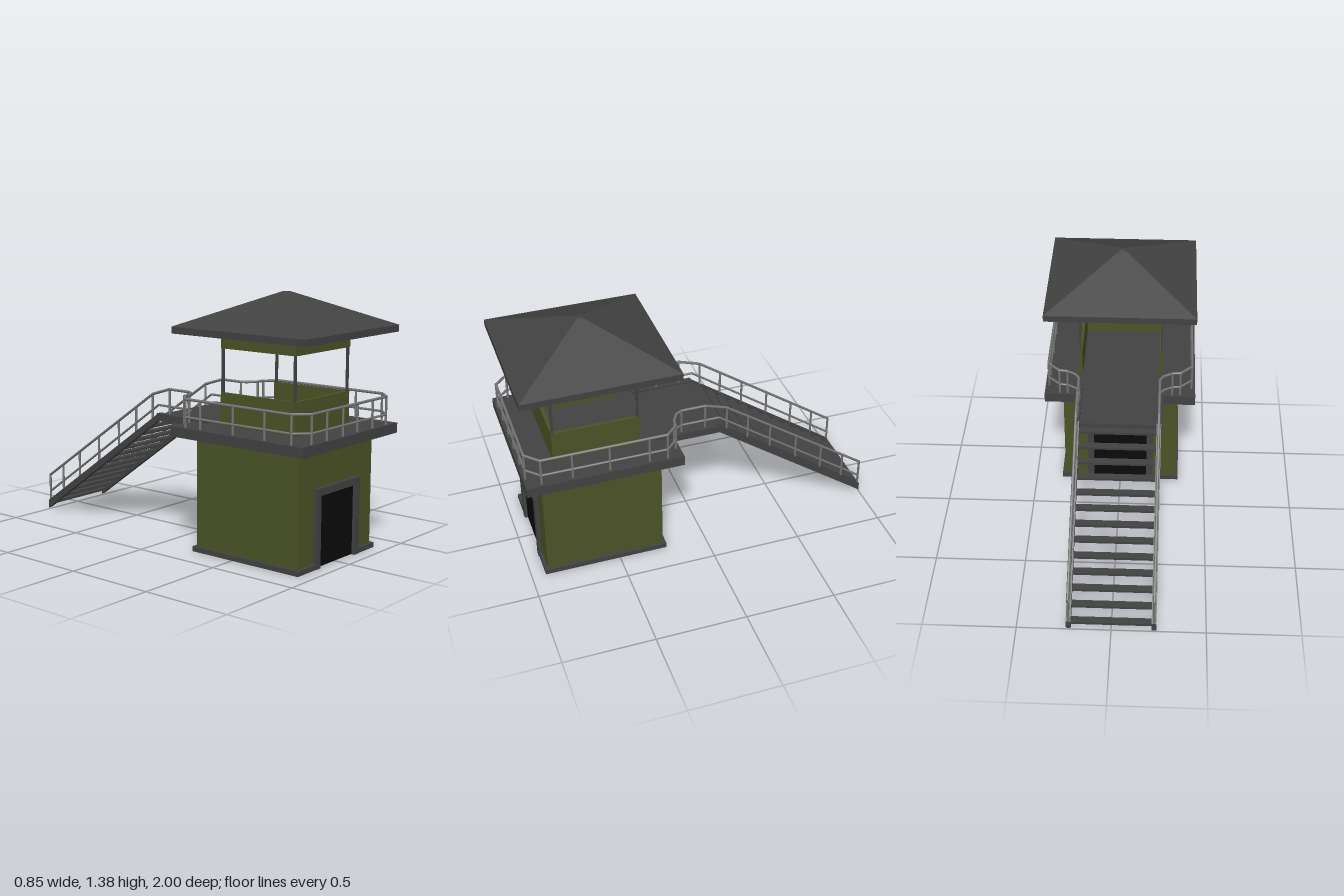
import * as THREE from 'three';

const mat = (color) => new THREE.MeshStandardMaterial({ color });

export function createModel() {
  const model = new THREE.Group();
  const olive = mat(0x4b5326), dark = mat(0x424242), steel = mat(0x757575), black = mat(0x0a0a0a);
  const Z = 0.576; // tower centre

  const add = (name, geometry, material, parent = model) => {
    const mesh = new THREE.Mesh(geometry, material);
    mesh.name = name;
    parent.add(mesh);
    return mesh;
  };
  // box given by its min and max corners
  const box = (name, material, x0, x1, y0, y1, z0, z1, parent) => {
    const mesh = add(name, new THREE.BoxGeometry(x1 - x0, y1 - y0, z1 - z0), material, parent);
    mesh.position.set((x0 + x1) / 2, (y0 + y1) / 2, (z0 + z1) / 2);
    return mesh;
  };
  const group = (name) => {
    const g = new THREE.Group();
    g.name = name;
    model.add(g);
    return g;
  };

  // Lower building and platform
  box('towerBody', olive, -0.328, 0.328, 0.002, 0.63, Z - 0.329, Z + 0.329);
  box('platform', dark, -0.426, 0.426, 0.626, 0.68, 0.148, 1);

  // Plinth, interrupted at the doors
  const plinth = group('plinth');
  for (const s of [-1, 1]) {
    const side = box('plinthSide', dark, -0.009, 0.009, 0, 0.027, Z - 0.347, Z + 0.347, plinth);
    side.position.x = s * 0.336;
    for (const f of [-1, 1]) {
      const end = box('plinthEnd', dark, -0.075, 0.075, 0, 0.027, -0.01, 0.01, plinth);
      end.position.x = s * 0.265;
      end.position.z = Z + f * 0.337;
    }
  }

  // Matching doorways at the front and back
  for (const f of [-1, 1]) {
    const door = group(f > 0 ? 'frontDoor' : 'backDoor');
    door.position.z = Z;
    if (f < 0) door.rotation.y = Math.PI;
    const frame = new THREE.Shape();
    [[-0.193, 0], [-0.155, 0], [-0.155, 0.38], [0.155, 0.38], [0.155, 0], [0.193, 0], [0.193, 0.42], [-0.193, 0.42]]
      .forEach(([x, y], i) => (i ? frame.lineTo(x, y) : frame.moveTo(x, y)));
    add('doorFrame', new THREE.ExtrudeGeometry(frame, { depth: 0.03, bevelEnabled: false }), dark, door)
      .position.z = 0.32;
    box('doorPanel', black, -0.156, 0.156, 0.002, 0.381, 0.32, 0.332, door);
  }

  // Cabin: parapet and top band on three sides, open at the back
  const cabin = group('cabin');
  const H = 0.24, T = 0.02;
  for (const [name, y0, y1] of [['parapet', 0.68, 0.855], ['topBand', 1.087, 1.168]]) {
    box(name + 'Front', olive, -H, H, y0, y1, Z + H - T, Z + H, cabin);
    box(name + 'Left', olive, H - T, H, y0, y1, Z - H, Z + H - T, cabin);
    box(name + 'Right', olive, -H, -H + T, y0, y1, Z - H, Z + H - T, cabin);
  }
  for (const sx of [-1, 1]) for (const sz of [-1, 1]) {
    const x = sx * 0.231, z = Z + sz * 0.231;
    box('cabinPost', dark, x - 0.006, x + 0.006, 0.68, 1.168, z - 0.006, z + 0.006, cabin);
  }

  // Roof: eave slab and hipped top with a small flat crown
  box('roofEave', dark, -0.418, 0.418, 1.166, 1.202, Z - 0.424, Z + 0.424);
  const hip = new THREE.CylinderGeometry(0.016 * Math.SQRT2, Math.SQRT2, 0.178, 4).toNonIndexed();
  hip.rotateY(Math.PI / 4);
  const p = hip.attributes.position;
  for (let i = 0; i < p.count; i++) {
    const low = p.getY(i) < 0;
    p.setX(i, p.getX(i) * (low ? 0.418 : 1));
    p.setZ(i, p.getZ(i) * (low ? 0.424 : 1));
  }
  hip.computeVertexNormals();
  add('roofTop', hip, dark).position.set(0, 1.291, Z);

  // Landing and stairs
  const stairs = group('stairs');
  box('landing', dark, -0.215, 0.215, 0.652, 0.681, -0.115, 0.16, stairs);
  const side = new THREE.Shape();
  [[0.105, 0.692], [0.105, 0.652], [1, 0.008], [1, 0.055]]
    .forEach(([d, y], i) => (i ? side.lineTo(d, y) : side.moveTo(d, y)));
  const stringer = new THREE.ExtrudeGeometry(side, { depth: 0.026, bevelEnabled: false });
  stringer.rotateY(Math.PI / 2);
  for (const s of [-1, 1]) {
    add('stringer', stringer, dark, stairs).position.x = s * 0.225 - 0.013;
    box('landingCurb', dark, s * 0.23 - 0.018, s * 0.23 + 0.018, 0.652, 0.692, -0.11, 0.245, stairs);
  }
  for (let i = 0; i < 13; i++) {
    const z = -0.979 + i * 0.07, y = 0.046 + i * 0.0503;
    box('tread', dark, -0.213, 0.213, y - 0.007, y + 0.007, z - 0.021, z + 0.021, stairs);
  }

  // Railing: round bars through stations [x, z, top, middle, foot, hasPost]
  const railing = group('railing');
  const bar = (name, a, b, r) => {
    const d = b.clone().sub(a);
    const m = add(name, new THREE.CylinderGeometry(r, r, d.length() + r * 0.6, 8), steel, railing);
    m.position.copy(a).add(b).multiplyScalar(0.5);
    m.quaternion.setFromUnitVectors(new THREE.Vector3(0, 1, 0), d.normalize());
  };
  const deck = (x, z, post = true) => [x, z, 0.83, 0.735, 0.68, post];
  const slope = (z) => {
    const d = -0.16 - z;
    return [0.225, z, 0.79 - 0.696 * d, 0.703 - 0.712 * d, 0.64 - 0.712 * d, true];
  };
  const stations = [
    deck(0, 0.985, false), deck(0.065, 0.985), deck(0.205, 0.985), deck(0.335, 0.985),
    deck(0.405, 0.915), deck(0.405, 0.75), deck(0.405, 0.55), deck(0.405, 0.335), deck(0.405, 0.235),
    deck(0.34, 0.17), deck(0.295, 0.165), deck(0.245, 0.135, false), deck(0.225, 0.1), deck(0.225, -0.035),
    [0.225, -0.115, 0.805, 0.735, 0.68, false],
    ...[-0.16, -0.285, -0.42, -0.58, -0.74, -0.88, -0.993].map(slope),
  ];
  for (const s of [-1, 1]) {
    const at = (q, k) => new THREE.Vector3(s * q[0], q[k], q[1]);
    stations.forEach((q, i) => {
      if (q[5]) bar('railPost', at(q, 4), at(q, 2), 0.0065);
      const n = stations[i + 1];
      if (!n) return;
      bar('topRail', at(q, 2), at(n, 2), 0.0075);
      bar('middleRail', at(q, 3), at(n, 3), 0.0065);
    });
  }
  return model;
}
